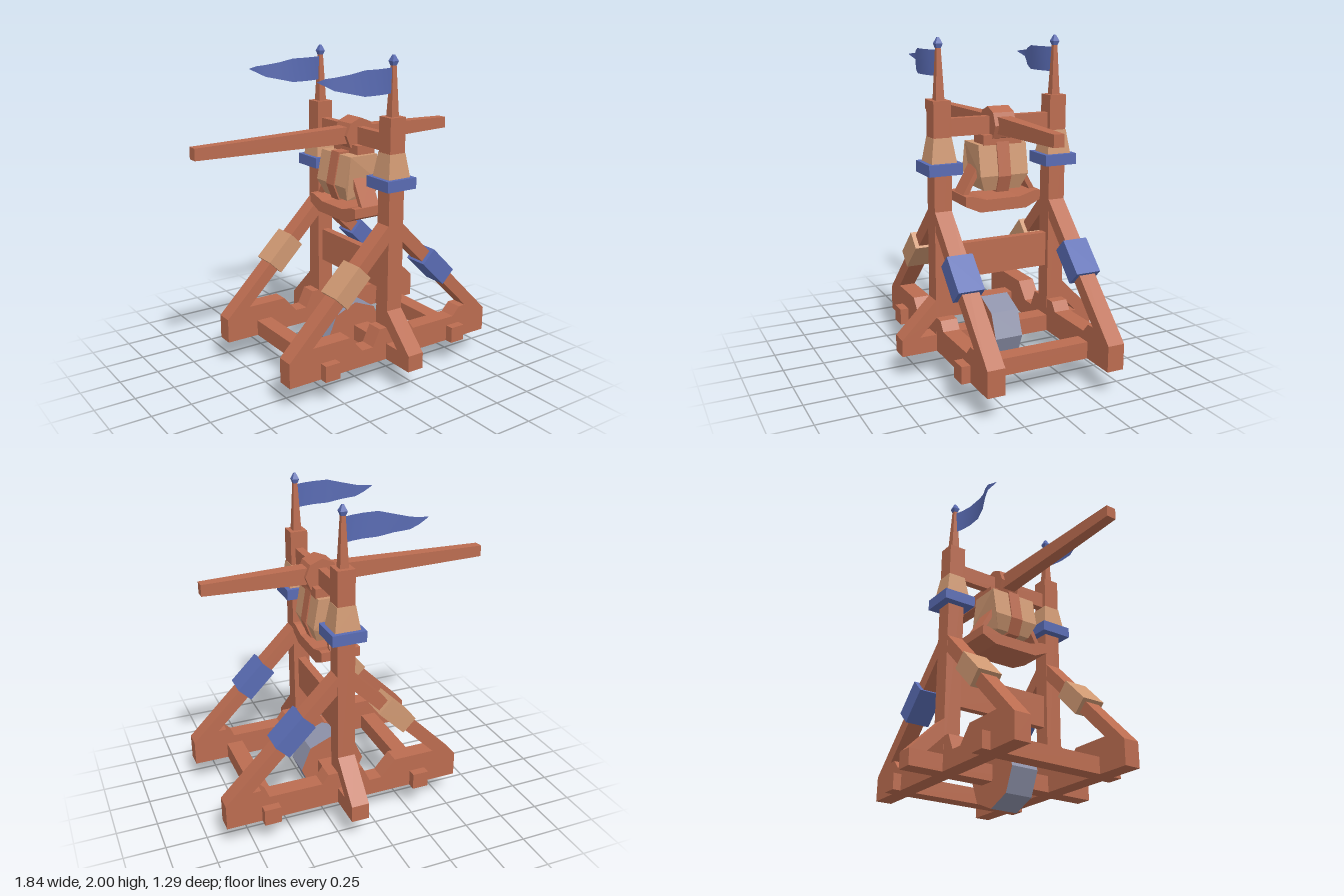
import * as THREE from 'three';

const mat = (name, color, extra = {}) => {
  const m = new THREE.MeshStandardMaterial({ color, ...extra });
  m.name = name;
  return m;
};

export function createModel() {
  const wood = mat('redWood', 0xbb6c50);
  const tan = mat('paleWood', 0xcf9872);
  const blue = mat('bluePaint', 0x596bb3);
  const cloth = blue;
  cloth.side = THREE.DoubleSide;
  const iron = mat('greyIron', 0x8e92aa);

  const root = new THREE.Group();
  const CX = 0.165; // x of the posts and axle
  const PZ = 0.375; // z of the side frames

  const add = (name, geo, material, x = 0, y = 0, z = 0, parent = root) => {
    const m = new THREE.Mesh(geo, material);
    m.name = name;
    m.position.set(x, y, z);
    parent.add(m);
    return m;
  };
  const box = (name, material, x0, x1, y0, y1, z0, z1, parent) =>
    add(name, new THREE.BoxGeometry(x1 - x0, y1 - y0, z1 - z0), material,
      (x0 + x1) / 2, (y0 + y1) / 2, (z0 + z1) / 2, parent);
  const toShape = pts => new THREE.Shape(pts.map(p => new THREE.Vector2(p[0], p[1])));

  // Outline in x,y extruded along z, centred on z = 0
  const slabZ = (pts, depth, holes = []) => {
    const s = toShape(pts);
    holes.forEach(h => s.holes.push(toShape(h)));
    return new THREE.ExtrudeGeometry(s, { depth, bevelEnabled: false }).translate(0, 0, -depth / 2);
  };
  // Outline in z,y extruded along x, centred on x = 0
  const slabX = (pts, depth) => slabZ(pts, depth).rotateY(-Math.PI / 2);
  // Square frustum from half widths
  const frustum = (top, bottom, height) =>
    new THREE.CylinderGeometry(top * Math.SQRT2, bottom * Math.SQRT2, height, 4)
      .rotateY(Math.PI / 4).toNonIndexed();
  const flat = g => { g.computeVertexNormals(); return g; };

  // Side frame outline with its two triangular openings
  const frameOutline = [[-0.58, 0.16], [0.915, 0.16], [0.915, 0.315], [0.2, 1.03], [0.13, 1.03], [-0.58, 0.315]];
  const leftOpening = [[-0.42, 0.37], [-0.16, 0.37], [-0.07, 0.265], [0.01, 0.265], [0.06, 0.37], [0.112, 0.37], [0.112, 0.9]];
  const rightOpening = [[0.75, 0.37], [0.7, 0.37], [0.65, 0.315], [0.32, 0.315], [0.28, 0.37], [0.218, 0.37], [0.218, 0.9]];

  // Waving pennant made of a strip of paired points: x, top y, bottom y, z
  const pennant = () => {
    const rows = [
      [0, 1.93, 1.785, 0], [-0.06, 1.93, 1.785, 0.022], [-0.13, 1.93, 1.785, 0.036], [-0.225, 1.93, 1.785, 0.036],
      [-0.31, 1.91, 1.805, 0.015], [-0.39, 1.895, 1.823, -0.022], [-0.44, 1.89, 1.85, -0.035], [-0.505, 1.881, 1.877, -0.015]];
    const pos = [], idx = [];
    rows.forEach(([x, t, b, z], i) => {
      pos.push(x, t, z, x, b, z);
      if (i) idx.push(2 * i - 2, 2 * i, 2 * i - 1, 2 * i - 1, 2 * i, 2 * i + 1);
    });
    const g = new THREE.BufferGeometry();
    g.setAttribute('position', new THREE.Float32BufferAttribute(pos, 3));
    g.setIndex(idx);
    return flat(g);
  };

  for (const side of [1, -1]) {
    const frame = new THREE.Group();
    frame.name = side > 0 ? 'frontFrame' : 'backFrame';
    frame.position.z = side * PZ;
    root.add(frame);

    add('sideFrame', slabZ(frameOutline, 0.105, [leftOpening, rightOpening]), wood, 0, 0, 0, frame);
    box('post', wood, CX - 0.054, CX + 0.054, 0.16, 1.65, -0.054, 0.054, frame);

    // Sleeves wrapped round the diagonal braces
    const sleeve = new THREE.BoxGeometry(0.23, 0.115, 0.158);
    add('paleSleeve', sleeve, tan, -0.157, 0.69, 0, frame).rotation.z = Math.PI / 4;
    add('blueSleeve', sleeve, blue, 0.488, 0.692, 0, frame).rotation.z = -Math.PI / 4;

    // Collar, spike, tip and pennant on the post
    add('collar', flat(frustum(0.056, 0.078, 0.145)), tan, CX, 1.3675, 0, frame);
    box('collarBand', blue, CX - 0.104, CX + 0.104, 1.23, 1.297, -0.104, 0.104, frame);
    add('spike', flat(frustum(0.012, 0.026, 0.3)), wood, CX, 1.8, 0, frame);
    add('tipBase', flat(frustum(0.021, 0.013, 0.025)), blue, CX, 1.9525, 0, frame);
    add('tip', flat(frustum(0.006, 0.021, 0.035)), blue, CX, 1.9825, 0, frame);
    add('pennant', pennant(), cloth, CX, 0, 0, frame);

    // Outrigger brace
    add('outrigger', slabX([[0.645, 0.26], [0.425, 0.48], [0.425, 0.37], [0.535, 0.26]]
      .map(([z, y]) => [side * z, y]), 0.108), wood, CX);
  }

  // Cross beams of the base and between the posts
  box('centreBeam', wood, CX - 0.054, CX + 0.054, 0.16, 0.262, -0.645, 0.645);
  box('rightCrossBeam', wood, -0.367, -0.265, 0.16, 0.262, -0.48, 0.48);
  box('leftCrossBeam', wood, 0.598, 0.7, 0.16, 0.262, -0.48, 0.48);
  box('crossPlank', wood, CX - 0.025, CX + 0.025, 0.585, 0.797, -0.33, 0.33);
  box('axle', wood, CX - 0.025, CX + 0.025, 1.44, 1.545, -0.33, 0.33);

  // Wheel: iron rim with wooden faces
  add('wheel', flat(new THREE.CylinderGeometry(0.209, 0.209, 0.18, 8).rotateX(Math.PI / 2).toNonIndexed()),
    [iron, wood, wood], 0.12, 0.209, 0);

  // Throwing beam, tapering to both ends
  const arm = new THREE.BoxGeometry(1.795, 0.104, 0.09, 2, 1, 1);
  const p = arm.attributes.position;
  for (let i = 0; i < p.count; i++) {
    if (Math.abs(p.getX(i)) > 0.1) p.setXYZ(i, p.getX(i), p.getY(i) * 0.67, p.getZ(i) * 0.7);
    else p.setX(i, 0.187);
  }
  add('throwingBeam', flat(arm.toNonIndexed()), wood, -0.0225, 1.495, 0);
  add('hub', flat(new THREE.CylinderGeometry(0.105, 0.105, 0.135, 8).rotateX(Math.PI / 2).toNonIndexed()),
    wood, CX, 1.495, 0);

  // Counterweight with its band and hanger
  const weightOutline = [[0.03, 1.385], [-0.008, 1.2], [0.03, 1.11], [0.225, 1.11], [0.258, 1.2], [0.225, 1.385]];
  const weight = slabZ(weightOutline, 0.31);
  const w = weight.attributes.position;
  for (let i = 0; i < w.count; i++) if (w.getY(i) < 1.15) w.setZ(i, w.getZ(i) * 0.76);
  weight.computeVertexNormals();
  add('counterweight', weight, tan);
  add('weightBand', slabZ(weightOutline.map(([x, y]) => [0.127 + (x - 0.127) * 1.06, 1.25 + (y - 1.25) * 1.09]), 0.08), wood);
  box('hangerPlate', wood, 0.1, 0.23, 1.38, 1.44, -0.125, 0.125);

  // Cradle below the counterweight
  add('cradle', slabX([[-0.245, 1.03], [-0.15, 0.987], [0.15, 0.987], [0.245, 1.03], [0.245, 1.088],
    [0.205, 1.088], [0.11, 1.06], [-0.11, 1.06], [-0.205, 1.088], [-0.245, 1.088]], 0.245), wood, 0.1225);
  for (const s of [1, -1]) {
    add('cradleStrut', slabX([[0.24, 1.08], [0.145, 1.25], [0.145, 1.19], [0.205, 1.08]]
      .map(([z, y]) => [s * z, y]), 0.13), wood, 0.122);
  }

  return root;
}
